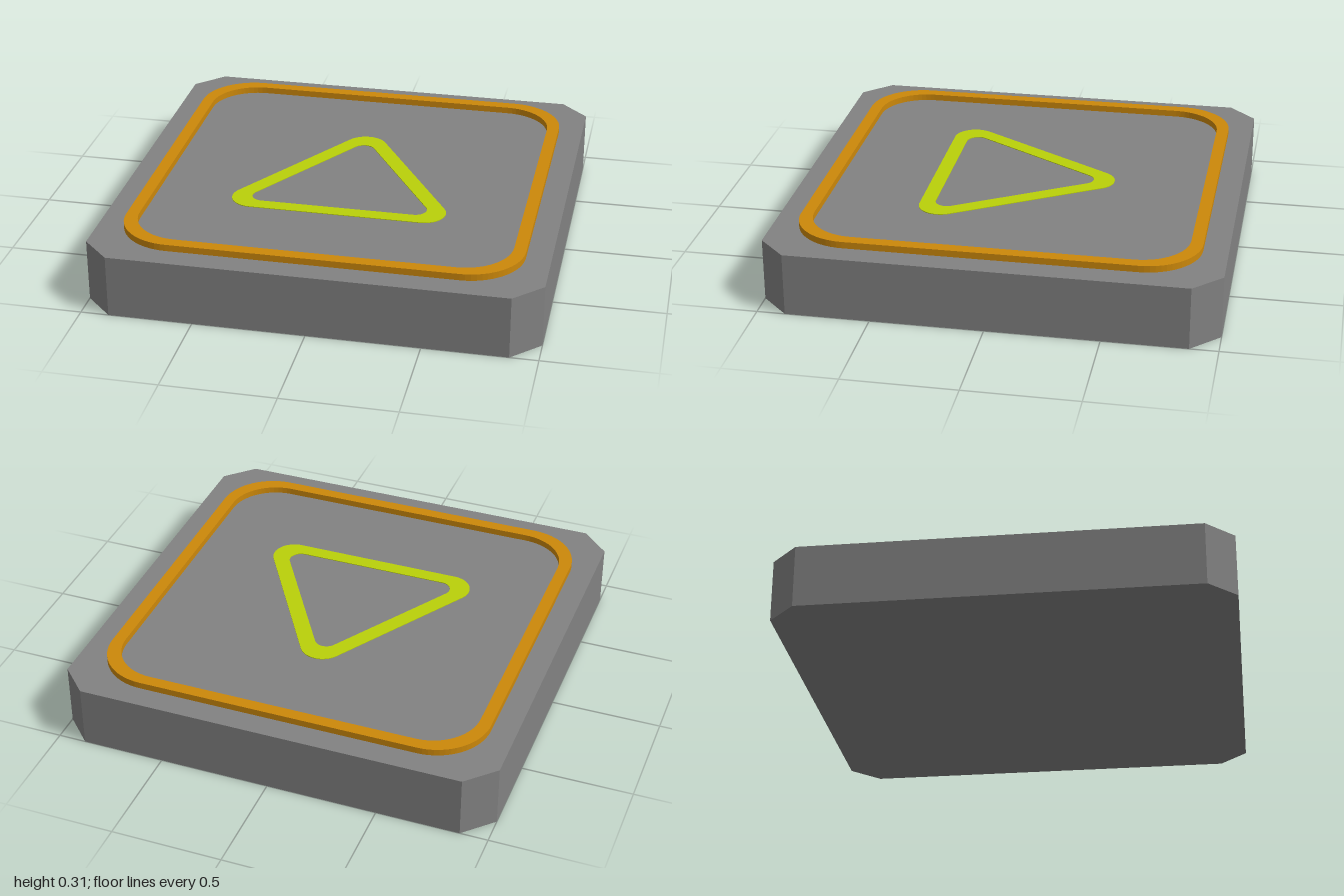
import * as THREE from 'three';

// Closed outline of arcs around corner centres (counter-clockwise); radius 0 gives sharp corners
function roundedOutline(centres, radius, target = new THREE.Shape()) {
  const n = centres.length;
  const edgeAngle = (i) => {
    const [ax, ay] = centres[i % n];
    const [bx, by] = centres[(i + 1) % n];
    return Math.atan2(by - ay, bx - ax) - Math.PI / 2; // outward normal of the edge
  };
  centres.forEach(([x, y], i) => {
    target.absarc(x, y, radius, edgeAngle(i + n - 1), edgeAngle(i), false);
  });
  target.closePath();
  return target;
}

const square = (h) => [[h, h], [-h, h], [-h, -h], [h, -h]];

// Extrude a ground-plan shape upwards from a given height
function slab(name, shape, bottom, height, material) {
  const geometry = new THREE.ExtrudeGeometry(shape, { depth: height, bevelEnabled: false, curveSegments: 8 });
  geometry.rotateX(-Math.PI / 2);
  const mesh = new THREE.Mesh(geometry, material);
  mesh.name = name;
  mesh.position.y = bottom;
  return mesh;
}

export function createModel() {
  const gray = new THREE.MeshStandardMaterial({ color: 0x828282 });
  gray.name = 'gray';
  const orange = new THREE.MeshStandardMaterial({ color: 0xcc880a });
  orange.name = 'orange';
  const lime = new THREE.MeshStandardMaterial({ color: 0xbad00a });
  lime.name = 'lime';

  const model = new THREE.Group();
  model.name = 'floorPad';

  // Square base with chamfered corners
  const c = 0.875;
  const base = new THREE.Shape(
    [[1, -c], [1, c], [c, 1], [-c, 1], [-1, c], [-1, -c], [-c, -1], [c, -1]]
      .map(([x, y]) => new THREE.Vector2(x, y)));
  model.add(slab('base', base, 0, 0.283, gray));

  // Raised rounded frame
  const frame = roundedOutline(square(0.64), 0.25);
  frame.holes.push(roundedOutline(square(0.615), 0.22, new THREE.Path()));
  model.add(slab('frame', frame, 0.283, 0.03, orange));

  // Thin triangular marking pointing to the back
  const triangle = roundedOutline([[0, 0.32], [-0.39, -0.313], [0.39, -0.313]], 0.1);
  triangle.holes.push(roundedOutline([[0, 0.27], [-0.348, -0.293], [0.348, -0.293]], 0.053, new THREE.Path()));
  model.add(slab('triangleMarking', triangle, 0.283, 0.003, lime));

  return model;
}
